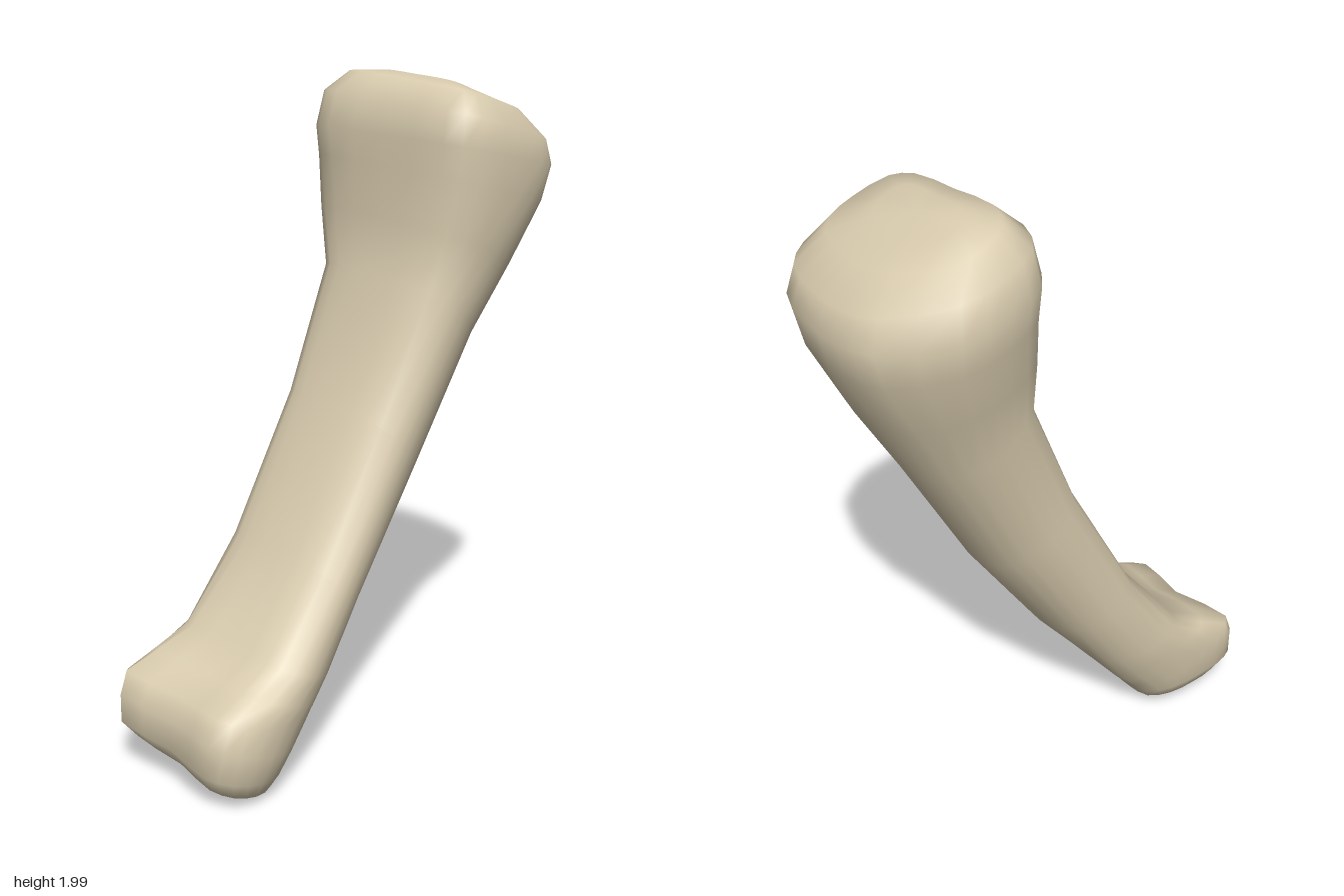
import * as THREE from 'three';

// Normalised outlines (u: right to left across x, v: back -1 to front +1), matching point for point
const HEAD = [[-.45, 1], [.15, .86], [.76, .7], [.98, .42], [.97, -.24], [.87, -.67], [.65, -.92],
  [.18, -1], [-.24, -.95], [-.59, -.78], [-.98, -.13], [-.96, .42], [-.8, .83]];
const SHAFT = [[-.55, 1], [.1, .95], [.65, .78], [.95, .42], [1, 0], [.78, -.52], [.46, -.88],
  [.05, -1], [-.35, -.92], [-.75, -.6], [-.97, -.1], [-1, .42], [-.9, .9]];
const FOOT = [[-.82, 1], [0, .74], [.7, .74], [.96, .42], [1, -.1], [.83, -.6], [.48, -.95],
  [.05, -.98], [-.35, -.97], [-.75, -.85], [-.95, -.4], [-1, .2], [-.97, .75]];

// Cross-sections from the lower end up:
// front z, front y, back z, back y, min x, max x, tilt across x, end outline, amount of end outline
const SECTIONS = [
  [.56, .04, .39, .02, -.10, .23, -.14, FOOT, 1],
  [.63, .09, .35, .035, -.145, .285, -.12, FOOT, 1],
  [.675, .15, .325, .075, -.165, .32, -.08, FOOT, 1],
  [.67, .24, .28, .13, -.175, .333, -.04, FOOT, 1],
  [.645, .315, .24, .18, -.18, .333, 0, FOOT, 1],
  [.54, .36, .20, .23, -.183, .322, 0, FOOT, .8],
  [.43, .41, .14, .305, -.187, .305, 0, FOOT, .5],
  [.24, .65, 0, .48, -.195, .268, 0, SHAFT, 1],
  [.02, 1.06, -.23, .82, -.208, .245, 0, SHAFT, 1],
  [-.13, 1.43, -.44, 1.21, -.238, .262, 0, HEAD, .15],
  [-.13, 1.60, -.56, 1.42, -.288, .308, 0, HEAD, .4],
  [-.13, 1.75, -.65, 1.61, -.335, .335, 0, HEAD, .8],
  [-.115, 1.84, -.67, 1.72, -.346, .343, 0, HEAD, 1],
  [-.135, 1.94, -.64, 1.80, -.325, .34, -.02, HEAD, 1],
  [-.20, 1.995, -.55, 1.89, -.255, .285, -.03, HEAD, 1],
  [-.28, 1.998, -.44, 1.94, -.15, .17, -.02, HEAD, 1],
];
const N = 26;

// Smooth closed ring for one cross-section
function ring([fz, fy, bz, by, x0, x1, tilt, end, amount]) {
  const points = SHAFT.map(([su, sv], i) => {
    const u = THREE.MathUtils.lerp(su, end[i][0], amount);
    const v = THREE.MathUtils.lerp(sv, end[i][1], amount);
    const t = (v + 1) / 2;
    return new THREE.Vector3(
      (x0 + x1) / 2 + u * (x1 - x0) / 2,
      by + (fy - by) * t + tilt * u * (x1 - x0) / 2,
      bz + (fz - bz) * t);
  });
  return new THREE.CatmullRomCurve3(points, true).getPoints(N).slice(0, N);
}

// Loft through the rings, closed by a shallow dome at each end
function loft(rings, bottom, top) {
  const vertices = [...rings.flat(), bottom, top];
  const lowCentre = rings.length * N, highCentre = lowCentre + 1, last = (rings.length - 1) * N;
  const index = [];
  for (let j = 0; j < N; j++) {
    const k = (j + 1) % N;
    for (let i = 0; i < last; i += N) {
      index.push(i + j, i + k, i + N + k, i + j, i + N + k, i + N + j);
    }
    index.push(lowCentre, k, j, highCentre, last + j, last + k);
  }
  const geometry = new THREE.BufferGeometry().setFromPoints(vertices);
  geometry.setIndex(index);
  geometry.computeVertexNormals();
  return geometry;
}

export function createModel() {
  const group = new THREE.Group();
  group.name = 'fingerBone';
  const boneColour = new THREE.MeshStandardMaterial({ color: 0xd8cbae });
  boneColour.name = 'bone';

  // One continuous body: rounded foot, slanted shaft and broad head
  const geometry = loft(SECTIONS.map(ring),
    new THREE.Vector3(.07, .015, .475), new THREE.Vector3(0, 1.98, -.36));
  const bone = new THREE.Mesh(geometry, boneColour);
  bone.name = 'boneBody';
  group.add(bone);
  return group;
}
